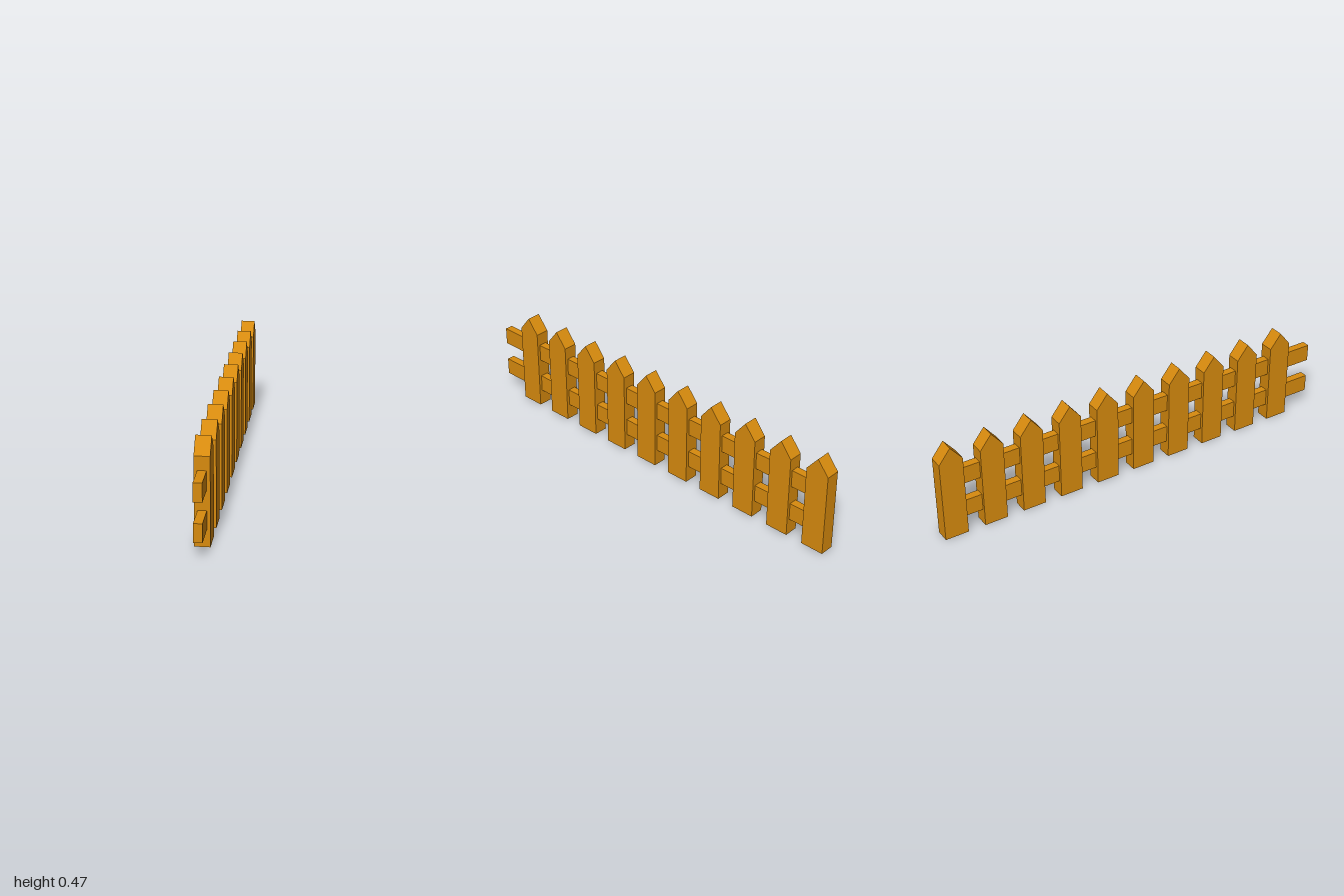
import * as THREE from 'three';

export function createModel() {
  const fence = new THREE.Group();
  fence.name = 'picketFence';

  const wood = new THREE.MeshStandardMaterial({ color: 0xd88b0e });
  wood.name = 'orange wood';

  // Pointed picket: outline in width and height, extruded through its thickness
  const halfWidth = 0.056, shoulder = 0.395, peak = 0.465, thickness = 0.067;
  const outline = new THREE.Shape([
    new THREE.Vector2(-halfWidth, 0),
    new THREE.Vector2(halfWidth, 0),
    new THREE.Vector2(halfWidth, shoulder),
    new THREE.Vector2(0, peak),
    new THREE.Vector2(-halfWidth, shoulder),
  ]);
  const picketGeometry = new THREE.ExtrudeGeometry(outline, { depth: thickness, bevelEnabled: false });
  picketGeometry.translate(0, 0, -thickness / 2);
  picketGeometry.rotateY(Math.PI / 2);

  // Row of ten evenly spaced pickets, the last one flush with the back end
  const count = 10, firstZ = 0.81, lastZ = -1 + halfWidth;
  for (let i = 0; i < count; i++) {
    const picket = new THREE.Mesh(picketGeometry, wood);
    picket.name = `picket${i + 1}`;
    picket.position.z = THREE.MathUtils.lerp(firstZ, lastZ, i / (count - 1));
    fence.add(picket);
  }

  // Two rails run through the pickets, stick out in front and end inside the last picket
  const railBack = -0.96, railFront = 1;
  const railGeometry = new THREE.BoxGeometry(0.038, 0.083, railFront - railBack);
  for (const [name, y] of [['lowerRail', 0.119], ['upperRail', 0.292]]) {
    const rail = new THREE.Mesh(railGeometry, wood);
    rail.name = name;
    rail.position.set(0, y, (railFront + railBack) / 2);
    fence.add(rail);
  }

  return fence;
}
